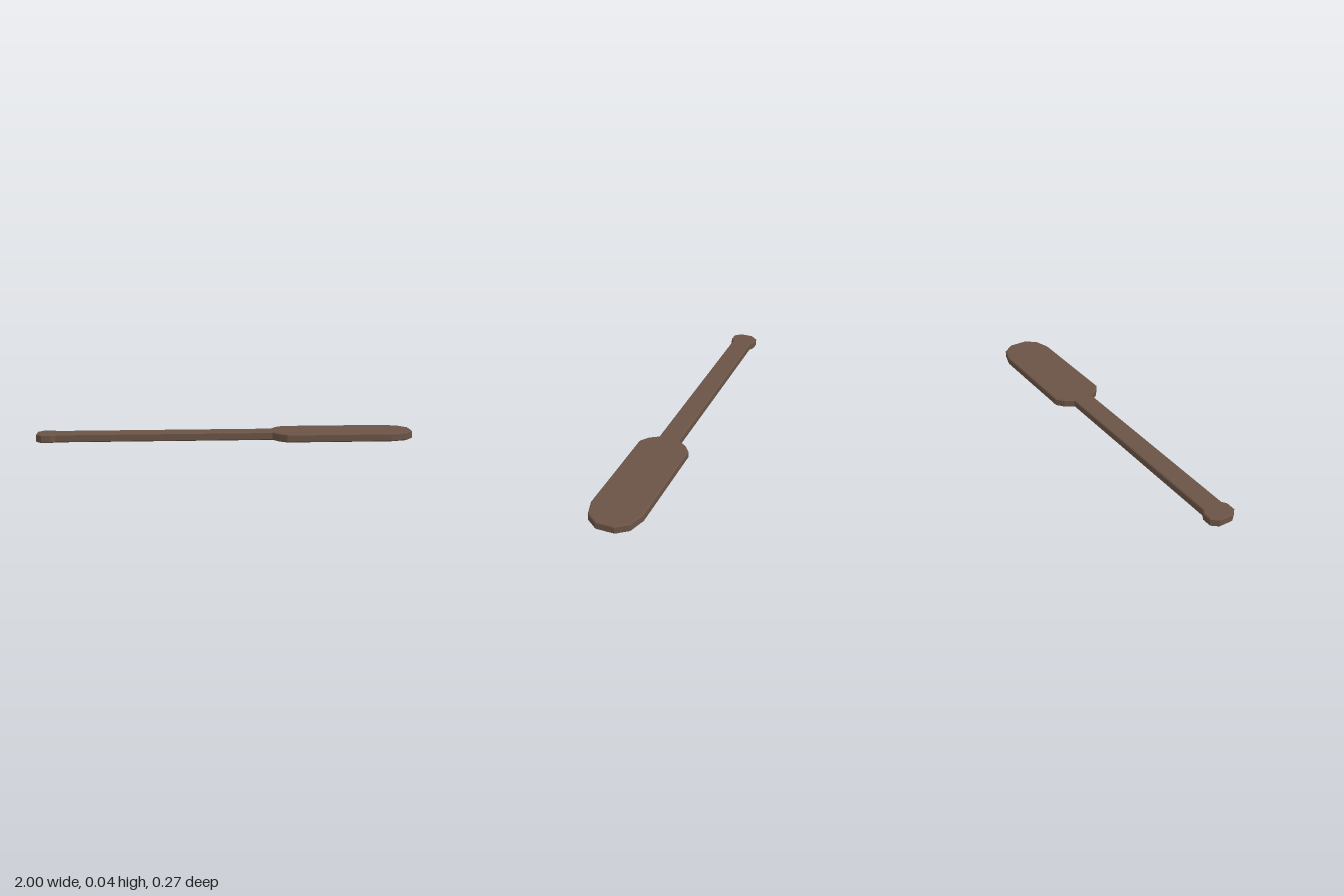
import * as THREE from 'three';

export function createModel() {
  const group = new THREE.Group();
  group.name = 'paddle';

  const thickness = 0.043, bevel = 0.005;

  // Half outline from grip end to blade tip: [x, half width]
  const half = [
    [-1, 0.037], [-0.97, 0.071], [-0.92, 0.071], [-0.895, 0.055], // grip knob
    [0.245, 0.055], [0.275, 0.102], [0.317, 0.134],               // shaft and shoulder
    [0.868, 0.134], [0.955, 0.107], [1, 0.048],                   // blade
  ];
  const outline = [
    ...half.map(([x, w]) => new THREE.Vector2(x, -w)),
    ...half.slice().reverse().map(([x, w]) => new THREE.Vector2(x, w)),
  ];

  // Flat board with a small chamfer on both faces, laid on the ground
  const geometry = new THREE.ExtrudeGeometry(new THREE.Shape(outline), {
    depth: thickness - 2 * bevel,
    bevelEnabled: true,
    bevelThickness: bevel,
    bevelSize: bevel,
    bevelOffset: -bevel,
    bevelSegments: 1,
  });
  geometry.translate(0, 0, bevel);
  geometry.rotateX(-Math.PI / 2);

  const material = new THREE.MeshStandardMaterial({ color: 0x6b5446, flatShading: true });
  const board = new THREE.Mesh(geometry, material);
  board.name = 'paddleBoard';
  group.add(board);
  return group;
}
